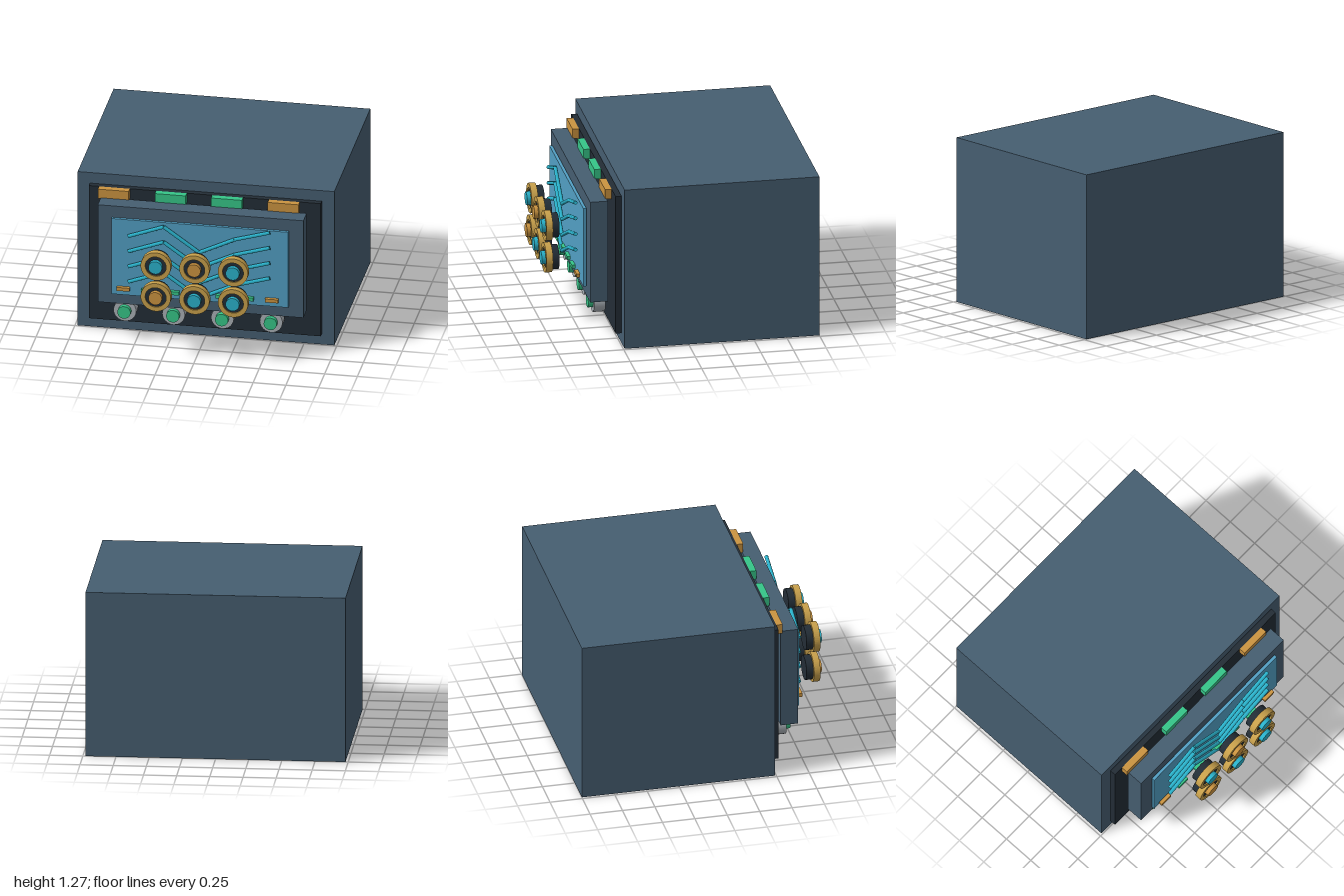
import * as THREE from 'three';

const mat = (name, color) => {
  const m = new THREE.MeshStandardMaterial({ color });
  m.name = name;
  return m;
};

export function createModel() {
  const root = new THREE.Group();
  root.name = 'controlBox';
  const slate = mat('slate', 0x465e71);
  const dark = mat('charcoal', 0x232d36);
  const blue = mat('screenBlue', 0x529fc3);
  const cyan = mat('cyan', 0x2ab2cb);
  const gold = mat('gold', 0xc8a04b);
  const orange = mat('orange', 0xcb9440);
  const green = mat('green', 0x36c588);
  const grey = mat('grey', 0xa9b0b6);

  const add = (name, geometry, material, parent = root) => {
    const mesh = new THREE.Mesh(geometry, material);
    mesh.name = name;
    parent.add(mesh);
    return mesh;
  };
  // Box given by its limits on each axis
  const box = (name, m, x0, x1, y0, y1, z0, z1) =>
    add(name, new THREE.BoxGeometry(x1 - x0, y1 - y0, z1 - z0), m)
      .position.set((x0 + x1) / 2, (y0 + y1) / 2, (z0 + z1) / 2);
  // Cylinder pointing forward between two depths
  const disc = (name, m, r, z0, z1, parent) =>
    add(name, new THREE.CylinderGeometry(r, r, z1 - z0, 24).rotateX(Math.PI / 2), m, parent)
      .position.z = (z0 + z1) / 2;
  const groupAt = (name, x, y) => {
    const g = new THREE.Group();
    g.name = name;
    g.position.set(x, y, 0);
    root.add(g);
    return g;
  };

  // Housing, front panel, bezel and screen
  box('housing', slate, -0.98, 0.98, 0, 1.275, -1, 0.49);
  box('frontPanel', dark, -0.885, 0.885, 0.09, 1.19, 0.495, 0.54);
  box('bezel', slate, -0.785, 0.785, 0.315, 1.12, 0.58, 0.715);
  box('screen', blue, -0.675, 0.675, 0.405, 1.03, 0.723, 0.747);

  // Tabs along the top edge
  [-0.69, -0.255, 0.175, 0.607].forEach((x, i) =>
    box('topTab', i % 3 ? green : orange, x - 0.118, x + 0.118, 1.113, 1.19, 0.54, 0.59));

  // Small chips along the bottom of the screen
  for (let i = 0; i < 7; i++) {
    const x = -0.58 + i * 0.189;
    box('chip', i % 6 ? green : orange, x - 0.05, x + 0.05, 0.452, 0.48, 0.757, 0.785);
  }

  // Zigzag signal traces, made of straight rods
  const path = [[-0.54, 0.91], [-0.27, 1.01], [0, 0.82], [0.27, 0.95], [0.54, 1.03]];
  for (let row = 0; row < 4; row++) {
    const pts = path.map(([x, y]) => new THREE.Vector3(x, y - row * 0.126, 0.78));
    for (let i = 0; i < 4; i++) {
      const dir = pts[i + 1].clone().sub(pts[i]);
      const rod = add('signalTrace', new THREE.CylinderGeometry(0.015, 0.015, dir.length(), 8), cyan);
      rod.position.copy(pts[i]).lerp(pts[i + 1], 0.5);
      rod.quaternion.setFromUnitVectors(new THREE.Vector3(0, 1, 0), dir.normalize());
    }
  }

  // Six dials: dark core, gold ring, coloured cap
  const ring = new THREE.Shape().absarc(0, 0, 0.115, 0, Math.PI * 2, false);
  ring.holes.push(new THREE.Path().absarc(0, 0, 0.08, 0, Math.PI * 2, true));
  const ringGeo = new THREE.ExtrudeGeometry(ring, { depth: 0.05, bevelEnabled: false, curveSegments: 24 });
  const caps = [[cyan, orange, cyan], [orange, cyan, cyan]];
  caps.forEach((line, r) => line.forEach((cap, c) => {
    const g = groupAt('dial', (c - 1) * 0.295, r ? 0.513 : 0.768);
    disc('dialCore', dark, 0.095, 0.873, 0.926, g);
    disc('dialFace', dark, 0.0805, 0.926, 0.965, g);
    add('dialRing', ringGeo, gold, g).position.z = 0.926;
    disc('dialCap', cap, 0.052, 0.96, 1, g);
  }));

  // Push buttons along the bottom
  [-0.59, -0.218, 0.155, 0.527].forEach((x) => {
    const g = groupAt('pushButton', x, 0.23);
    disc('buttonCollar', grey, 0.087, 0.565, 0.652, g);
    disc('buttonCap', green, 0.05, 0.652, 0.69, g);
  });

  return root;
}
